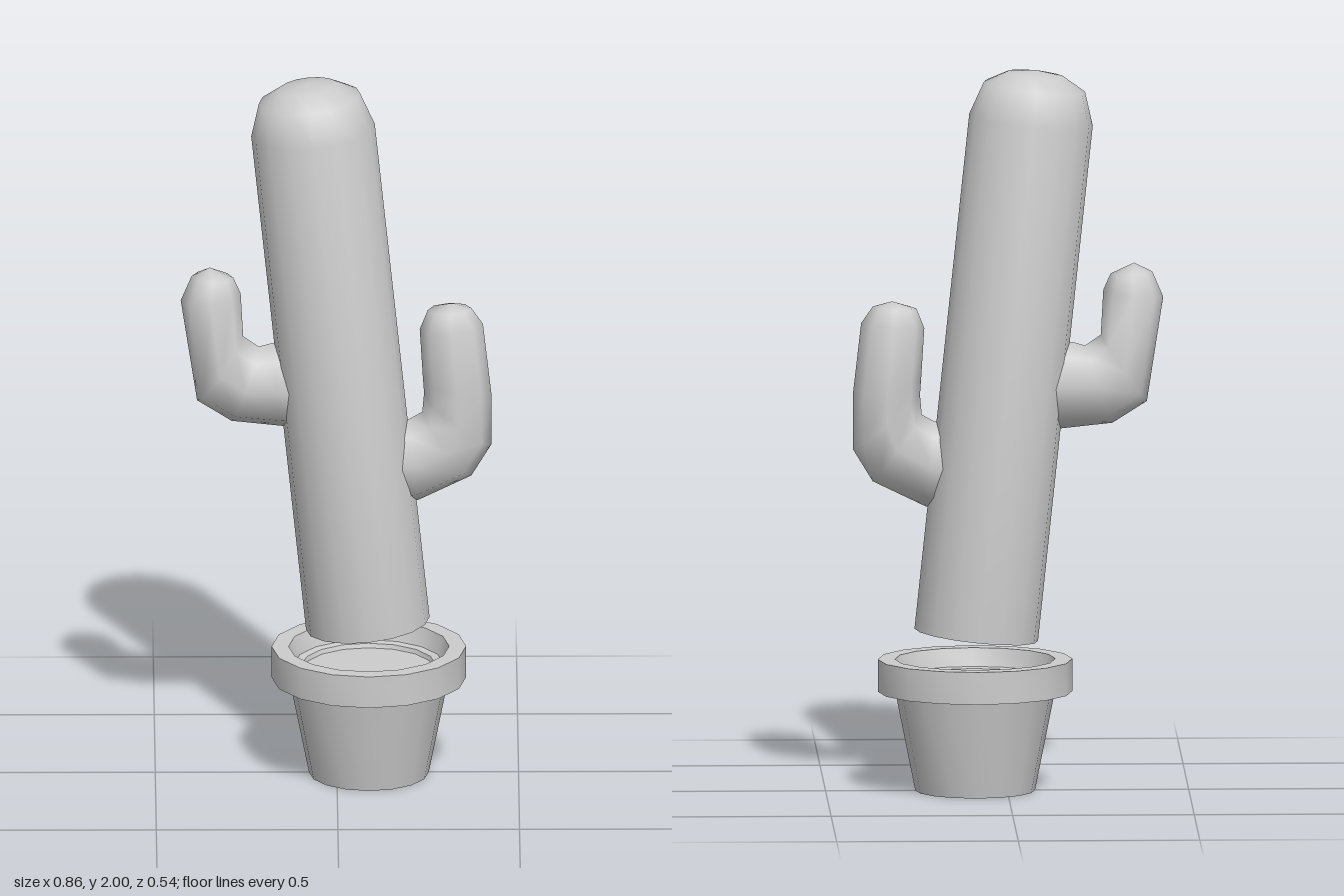
import * as THREE from 'three';
import { toCreasedNormals } from 'three/addons/utils/BufferGeometryUtils.js';

const grey = new THREE.MeshStandardMaterial({ color: 0xcccccc });
grey.name = 'plainGrey';

function addMesh(parent, name, geometry) {
  const mesh = new THREE.Mesh(geometry, grey);
  mesh.name = name;
  parent.add(mesh);
  return mesh;
}

// Revolved profile with sharp rims and smooth sides
function lathe(profile) {
  const points = profile.map(([r, y]) => new THREE.Vector2(r, y));
  return toCreasedNormals(new THREE.LatheGeometry(points, 16), 0.9);
}

// Eight-sided bent tube; each section is [innerX, innerY, outerX, outerY, halfDepth]
function arm(sections, side) {
  const n = 8, positions = [], index = [];
  sections.forEach(([ix, iy, ox, oy, depth], s) => {
    for (let i = 0; i < n; i++) {
      const t = (i / n) * Math.PI * 2, c = Math.cos(t);
      positions.push(
        (ix + ox) / 2 + (c * (ox - ix)) / 2,
        (iy + oy) / 2 + (c * (oy - iy)) / 2,
        side * depth * Math.sin(t));
      if (s === 0) continue;
      const j = (i + 1) % n, a = (s - 1) * n, b = s * n;
      index.push(a + i, b + i, a + j, b + i, b + j, a + j);
    }
  });
  const g = new THREE.BufferGeometry();
  g.setAttribute('position', new THREE.Float32BufferAttribute(positions, 3));
  g.setIndex(index);
  return toCreasedNormals(g, Math.PI);
}

export function createModel() {
  const model = new THREE.Group();
  model.name = 'pottedCactus';

  // Tapered pot with a thick rim and a recessed floor
  const pot = addMesh(model, 'pot', lathe([
    [0, 0], [0.165, 0], [0.22, 0.275], [0.268, 0.275], [0.268, 0.365],
    [0.221, 0.365], [0.205, 0.315], [0.184, 0.312], [0.18, 0.3], [0, 0.3],
  ]));
  pot.position.x = 0.088;

  // Leaning trunk with a domed top
  const cactus = new THREE.Group();
  cactus.name = 'cactus';
  model.add(cactus);
  const trunk = addMesh(cactus, 'trunk', lathe([
    [0, 0], [0.171, 0], [0.171, 1.44], [0.14, 1.532], [0.08, 1.566], [0, 1.578],
  ]));
  trunk.position.set(0.085, 0.432, 0);
  trunk.rotation.z = 0.105;

  // Upturned arms, from inside the trunk to the rounded tip
  addMesh(cactus, 'leftArm', arm([
    [0.1, 1.02, 0.12, 0.78, 0.09],
    [0.2, 1.025, 0.225, 0.79, 0.086],
    [0.235, 1.045, 0.37, 0.86, 0.087],
    [0.24, 1.1, 0.425, 0.95, 0.087],
    [0.237, 1.14, 0.425, 1.1, 0.083],
    [0.228, 1.285, 0.402, 1.3, 0.076],
    [0.25, 1.34, 0.37, 1.346, 0.054],
    [0.317, 1.36, 0.317, 1.36, 0],
  ], 1));
  addMesh(cactus, 'rightArm', arm([
    [-0.06, 1.25, -0.04, 1, 0.09],
    [-0.18, 1.245, -0.15, 1.005, 0.086],
    [-0.215, 1.235, -0.29, 1.02, 0.086],
    [-0.258, 1.265, -0.385, 1.08, 0.086],
    [-0.265, 1.39, -0.43, 1.37, 0.08],
    [-0.285, 1.435, -0.4, 1.44, 0.055],
    [-0.35, 1.465, -0.35, 1.465, 0],
  ], -1));

  return model;
}
